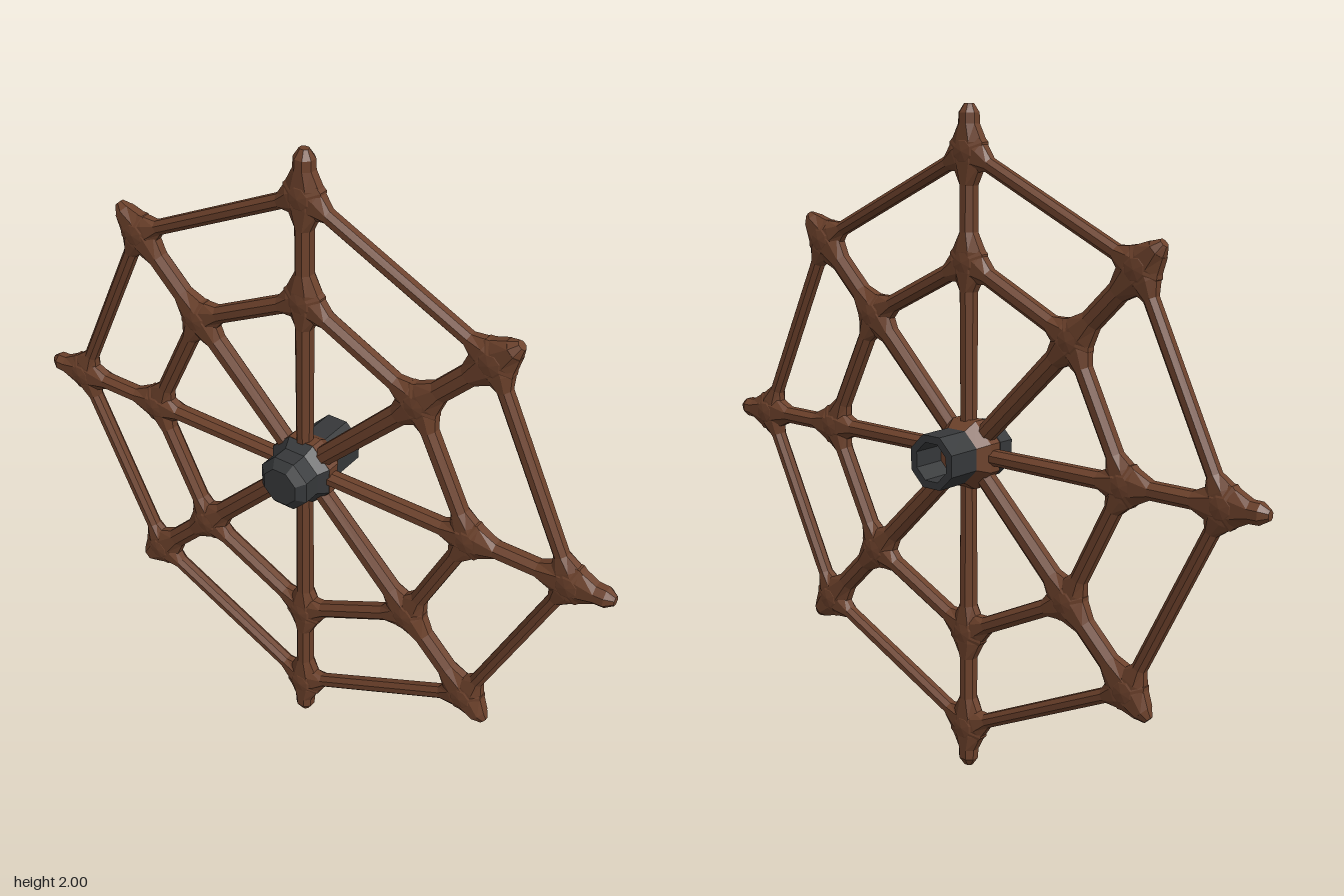
import * as THREE from 'three';

const CENTER_Y = 1;
const WHEEL_Z = 0.02;
const SIDES = 8;
const CORNER = 1 / Math.cos(Math.PI / SIDES);

// Eight-sided bar along +y through stations [distance, halfWidth, halfDepth]
function barGeometry(stations) {
  const last = stations.length - 1;
  const geo = new THREE.CylinderGeometry(1, 1, 1, SIDES, last, false, Math.PI / SIDES);
  const p = geo.attributes.position;
  for (let i = 0; i < p.count; i++) {
    const [t, w, d] = stations[Math.round((p.getY(i) + 0.5) * last)];
    p.setXYZ(i, p.getX(i) * w * CORNER, t, p.getZ(i) * d * CORNER);
  }
  geo.computeVertexNormals();
  return geo;
}

// Octagonal turned part with its axis along z; profile is [radius, z] from back to front
function turnedGeometry(profile) {
  const pts = profile.map(([r, z]) => new THREE.Vector2(r * CORNER, z));
  const geo = new THREE.LatheGeometry(pts, SIDES, Math.PI / SIDES);
  geo.rotateX(Math.PI / 2);
  return geo;
}

export function createModel() {
  const wood = new THREE.MeshStandardMaterial({ color: 0x6c412b, flatShading: true });
  wood.name = 'brown wood';
  const iron = new THREE.MeshStandardMaterial({ color: 0x36383a, flatShading: true });
  iron.name = 'dark iron';

  const model = new THREE.Group();
  model.name = 'webWheel';
  const wheel = new THREE.Group();
  wheel.name = 'wheel';
  wheel.position.set(0, CENTER_Y, 0);
  model.add(wheel);

  const add = (name, geo, mat, parent = wheel) => {
    const mesh = new THREE.Mesh(geo, mat);
    mesh.name = name;
    parent.add(mesh);
    return mesh;
  };

  // Axis spokes are slim and long, diagonal spokes stouter and shorter
  const spokeSpec = (i) => (i % 2
    ? { inner: 0.53, outer: 0.83, tip: 0.93, w: 0.031 }
    : { inner: 0.56, outer: 0.87, tip: 1.0, w: 0.025 });
  const pointAt = (i, r) => {
    const a = (i * Math.PI) / 4;
    return new THREE.Vector2(Math.sin(a) * r, Math.cos(a) * r);
  };

  // Spokes swelling at both ring joints, with chamfered tips
  for (let i = 0; i < 8; i++) {
    const { inner, outer, tip, w } = spokeSpec(i);
    const spoke = add('spoke', barGeometry([
      [0.02, w * 0.9, 0.026],
      [inner - 0.085, w, 0.028],
      [inner - 0.03, 0.053, 0.032],
      [inner + 0.03, 0.053, 0.032],
      [inner + 0.085, w, 0.028],
      [outer - 0.095, w, 0.028],
      [outer - 0.03, 0.056, 0.031],
      [outer + 0.025, 0.056, 0.031],
      [outer + 0.075, 0.03, 0.029],
      [tip - 0.025, 0.029, 0.028],
      [tip, 0.014, 0.012],
    ]), wood);
    spoke.position.z = WHEEL_Z;
    spoke.rotation.z = (-i * Math.PI) / 4;

    // Low faceted boss on each joint
    for (const r of [inner, outer]) {
      const boss = add('joint', turnedGeometry([
        [0, -0.036], [0.028, -0.032], [0.06, -0.014],
        [0.06, 0.014], [0.028, 0.032], [0, 0.036],
      ]), wood);
      const c = pointAt(i, r);
      boss.position.set(c.x, c.y, WHEEL_Z);
      boss.rotation.z = (-i * Math.PI) / 4;
    }
  }

  // Two rings of straight bars flaring into the joints
  const rings = [
    { name: 'innerRingBar', key: 'inner', w: 0.025, d: 0.027 },
    { name: 'outerRingBar', key: 'outer', w: 0.021, d: 0.023 },
  ];
  for (const { name, key, w, d } of rings) {
    for (let i = 0; i < 8; i++) {
      const a = pointAt(i, spokeSpec(i)[key]);
      const b = pointAt(i + 1, spokeSpec(i + 1)[key]);
      const dir = b.clone().sub(a);
      const len = dir.length();
      const bar = add(name, barGeometry([
        [0.01, 0.05, 0.03], [0.04, 0.046, 0.029], [0.085, w, d],
        [len - 0.085, w, d], [len - 0.04, 0.046, 0.029], [len - 0.01, 0.05, 0.03],
      ]), wood);
      bar.position.set(a.x, a.y, WHEEL_Z);
      bar.rotation.z = Math.atan2(-dir.x, dir.y);
    }
  }

  // Wooden hub with bevelled back
  const hub = new THREE.Group();
  hub.name = 'hub';
  wheel.add(hub);
  add('hubBody', turnedGeometry([
    [0, -0.04], [0.075, -0.04], [0.102, 0], [0.102, 0.04], [0, 0.04],
  ]), wood, hub);

  // Iron cap in front
  add('hubCap', turnedGeometry([
    [0, 0.038], [0.102, 0.038], [0.08, 0.07], [0.08, 0.122],
    [0.055, 0.145], [0, 0.145],
  ]), iron, hub);

  // Hollow iron axle sleeve behind
  add('axleSleeve', turnedGeometry([
    [0.056, -0.035], [0.056, -0.145], [0.078, -0.145], [0.078, -0.035],
  ]), iron, hub);

  // LatheGeometry axis flips with the quarter turn, so faces are kept visible both ways
  iron.side = THREE.DoubleSide;
  wood.side = THREE.DoubleSide;
  return model;
}
